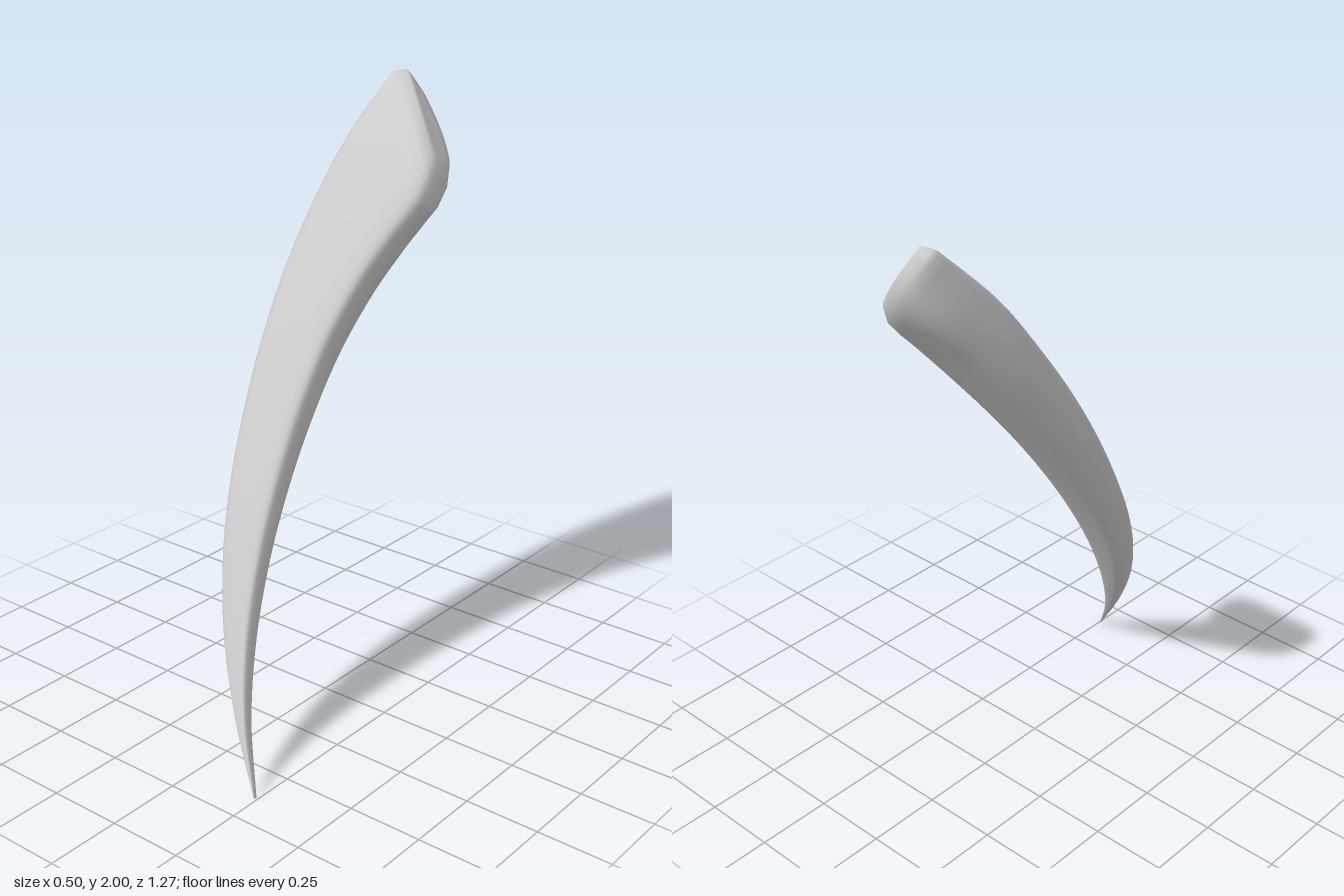
import * as THREE from 'three';

const spline = (pts, closed = false) => new THREE.CatmullRomCurve3(
  pts.map(([x, y]) => new THREE.Vector3(x, y, 0)), closed, 'catmullrom');
// depth of the front and back faces at evenly spaced heights 0..2
const depth = (zs) => {
  const c = spline(zs.map((z, i) => [z, i * 0.2]));
  return (y) => c.getPoint(THREE.MathUtils.clamp(y / 2, 0, 1)).x;
};
const zFront = depth([0.655, 0.585, 0.502, 0.407, 0.302, 0.187, 0.065, -0.065, -0.203, -0.35, -0.55]);
const zBack = depth([0.64, 0.53, 0.415, 0.295, 0.165, 0.025, -0.123, -0.278, -0.438, -0.605, -0.665]);

// outer and inner edges of the claw (x, y), paired from tip to root
const outer = spline([[0.243, 0.005], [0.104, 0.2], [-0.015, 0.4], [-0.103, 0.6], [-0.165, 0.8],
  [-0.207, 1.0], [-0.236, 1.2], [-0.249, 1.4], [-0.239, 1.6], [-0.207, 1.8], [-0.168, 1.965]]);
const inner = spline([[0.246, 0.005], [0.148, 0.2], [0.083, 0.4], [0.042, 0.6], [0.018, 0.8],
  [0.008, 1.0], [0.016, 1.2], [0.05, 1.37], [0.097, 1.5], [0.131, 1.572], [0.157, 1.625]]);

// cross-section: u runs outer to inner, w runs back to front
const section = spline([[-1, 0.4], [-0.9, 0.9], [0, 1], [0.82, 0.95], [1, 0.5], [0.97, -0.2],
  [0.75, -0.8], [0.4, -1], [-0.2, -0.97], [-0.68, -0.82], [-0.93, -0.25]], true)
  .getPoints(44).slice(0, 44);

function clawGeometry() {
  const rings = [];
  for (let i = 0; i <= 60; i++) rings.push({ a: outer.getPoint(i / 60), b: inner.getPoint(i / 60), s: 1 });
  // bevelled root end
  const cap = (ax, ay, bx, by, s) =>
    rings.push({ a: new THREE.Vector3(ax, ay, 0), b: new THREE.Vector3(bx, by, 0), s });
  cap(-0.155, 1.975, 0.158, 1.68, 0.96);
  cap(-0.12, 1.985, 0.138, 1.735, 0.75);
  cap(-0.085, 1.955, 0.11, 1.765, 0.4);

  const pos = [], idx = [], n = section.length;
  for (const { a, b, s } of rings) {
    for (const { x: u, y: w } of section) {
      const p = a.clone().lerp(b, (u + 1) / 2);
      // lean each ring so it lies square to the tilted claw
      const y = Math.max(0, p.y + 0.22 * w * s * (zFront(p.y) - zBack(p.y)));
      pos.push(p.x, y, THREE.MathUtils.lerp(zBack(y), zFront(y), (w * s + 1) / 2));
    }
  }
  for (let i = 0; i < rings.length - 1; i++) {
    for (let j = 0; j < n; j++) {
      const k = (j + 1) % n, p = i * n, q = p + n;
      idx.push(p + j, p + k, q + k, p + j, q + k, q + j);
    }
  }
  // close tip and root
  const last = (rings.length - 1) * n;
  for (let j = 1; j < n - 1; j++) {
    idx.push(0, j + 1, j);
    idx.push(last, last + j, last + j + 1);
  }
  const g = new THREE.BufferGeometry();
  g.setAttribute('position', new THREE.Float32BufferAttribute(pos, 3));
  g.setIndex(idx);
  g.computeVertexNormals();
  return g;
}

export function createModel() {
  const group = new THREE.Group();
  const claw = new THREE.Mesh(clawGeometry(), new THREE.MeshStandardMaterial({ color: 0xcccccc }));
  claw.name = 'claw';
  group.add(claw);
  return group;
}
